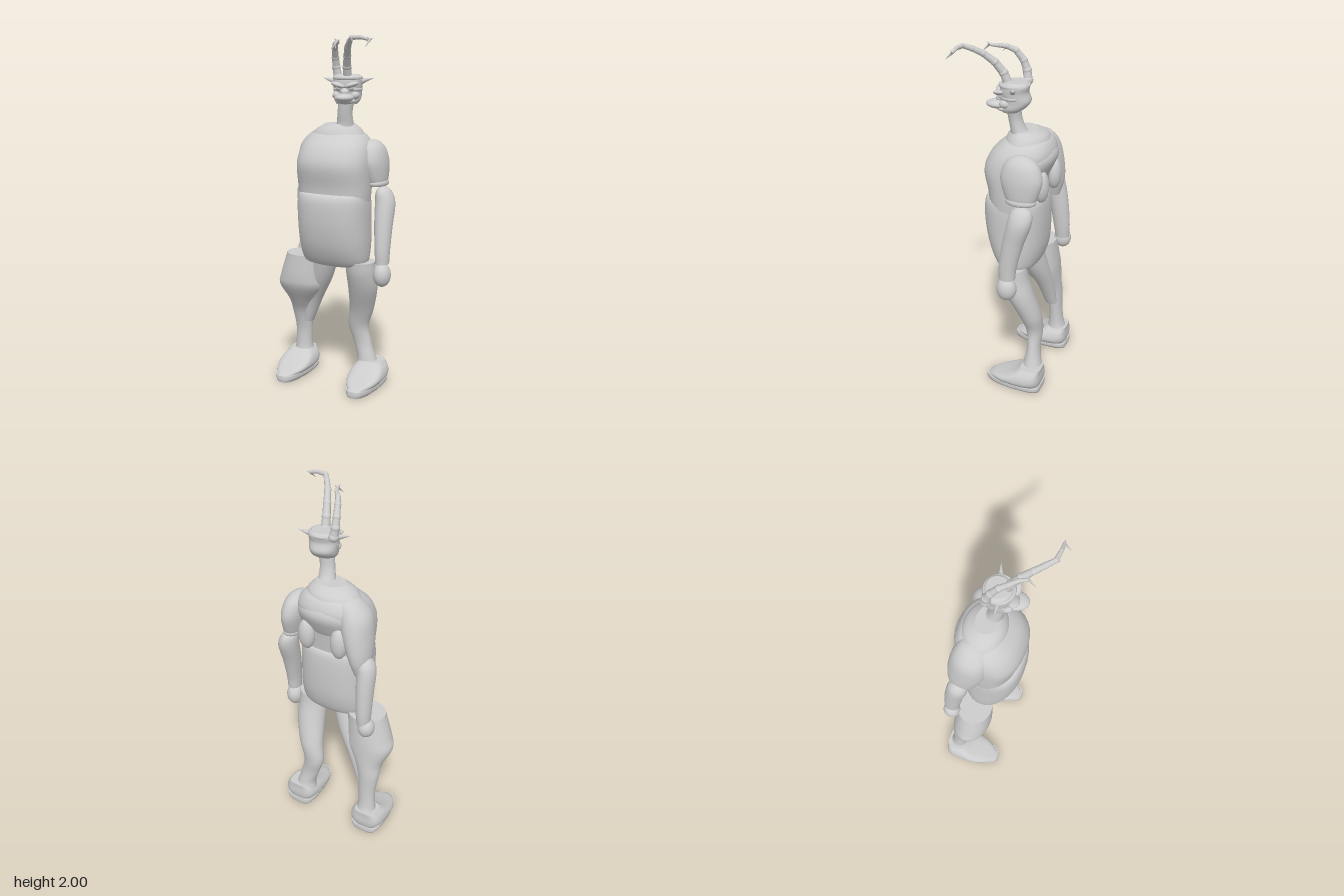
import * as THREE from 'three';

const grey = new THREE.MeshStandardMaterial({ color: 0xcccccc });
grey.name = 'plain grey';

// Smooth closed body through oval sections, listed bottom to top:
// [x, y, z, halfWidth, halfDepth]; power above 2 squares the ovals.
function loft(sections, power = 2, steps = 6, sides = 32) {
  const centre = new THREE.CatmullRomCurve3(sections.map(s => new THREE.Vector3(s[0], s[1], s[2])), false, 'catmullrom', 0.5);
  const size = new THREE.CatmullRomCurve3(sections.map(s => new THREE.Vector3(s[3], s[4], 0)), false, 'catmullrom', 0.5);
  const rows = (sections.length - 1) * steps;
  const pos = [], idx = [];
  const bend = v => Math.sign(v) * Math.pow(Math.abs(v), 2 / power);
  const ring = i => {
    const c = centre.getPoint(i / rows), r = size.getPoint(i / rows);
    for (let j = 0; j < sides; j++) {
      const a = j / sides * Math.PI * 2;
      pos.push(c.x + r.x * bend(Math.cos(a)), c.y, c.z + r.y * bend(Math.sin(a)));
    }
    return c;
  };
  for (let i = 0; i <= rows; i++) ring(i);
  for (let i = 0; i < rows; i++) for (let j = 0; j < sides; j++) {
    const a = i * sides + j, b = i * sides + (j + 1) % sides;
    idx.push(a, a + sides, b, b, a + sides, b + sides);
  }
  // End caps with their own vertices keep the rims crisp
  for (const i of [0, rows]) {
    const start = pos.length / 3, c = ring(i);
    pos.push(c.x, c.y, c.z);
    for (let j = 0; j < sides; j++) {
      const a = start + j, b = start + (j + 1) % sides;
      idx.push(start + sides, ...(i ? [b, a] : [a, b]));
    }
  }
  const g = new THREE.BufferGeometry();
  g.setAttribute('position', new THREE.Float32BufferAttribute(pos, 3));
  g.setIndex(idx);
  g.computeVertexNormals();
  return g;
}

function add(parent, name, geometry, position = [0, 0, 0]) {
  const m = new THREE.Mesh(geometry, grey);
  m.name = name;
  m.position.set(...position);
  parent.add(m);
  return m;
}

function ball(parent, name, p, r) {
  const m = add(parent, name, new THREE.SphereGeometry(1, 32, 20), p);
  m.scale.set(...r);
  return m;
}

// Cone or rod between two points
function rod(parent, name, a, b, ra, rb, sides = 12) {
  const from = new THREE.Vector3(...a), to = new THREE.Vector3(...b), d = to.clone().sub(from);
  const m = add(parent, name, new THREE.CylinderGeometry(rb, ra, d.length(), sides));
  m.position.copy(from).add(to).multiplyScalar(0.5);
  m.quaternion.setFromUnitVectors(new THREE.Vector3(0, 1, 0), d.normalize());
}

function foot(parent, name, x) {
  const g = new THREE.Group();
  g.name = name;
  g.position.x = x;
  parent.add(g);
  const narrowToe = geo => {
    const p = geo.attributes.position;
    for (let i = 0; i < p.count; i++) p.setX(i, p.getX(i) * (1 - 13 * Math.max(0, p.getZ(i) + 0.1) ** 2));
    geo.computeVertexNormals();
    return geo;
  };
  add(g, 'sole', narrowToe(loft([[0, 0.003, -0.07, 0.075, 0.167], [0, 0.02, -0.07, 0.09, 0.17], [0, 0.04, -0.07, 0.092, 0.168]], 5)));
  add(g, 'shoe', narrowToe(loft([[0, 0.04, -0.07, 0.088, 0.162], [0, 0.06, -0.09, 0.101, 0.147], [0, 0.085, -0.125, 0.101, 0.113],
    [0, 0.115, -0.155, 0.09, 0.08], [0, 0.145, -0.175, 0.066, 0.06]], 3.6)));
}

// Jointed horn with knuckles and small forked tips
function horn(parent, name, points, r) {
  const g = new THREE.Group();
  g.name = name;
  parent.add(g);
  const n = points.length - 1;
  const rad = i => r * (1 - 0.68 * i / n);
  for (let i = 0; i < n; i++) {
    rod(g, 'hornSegment', points[i], points[i + 1], rad(i), rad(i + 1));
    ball(g, 'knuckle', points[i], [rad(i) * 1.12, rad(i) * 1.05, rad(i) * 1.12]);
  }
  const t = points[n];
  for (const [dx, dy, dz] of [[0.018, 0.008, -0.004], [-0.008, 0.014, 0.014], [-0.006, -0.038, 0.042]])
    rod(g, 'tipSpike', t, [t[0] + dx, t[1] + dy, t[2] + dz], rad(n), 0.0005, 8);
  const b = points[n - 2];
  rod(g, 'thorn', b, [b[0] + 0.012, b[1] - 0.025, b[2] + 0.02], 0.007, 0.0005, 8);
}

export function createModel() {
  const model = new THREE.Group();
  model.name = 'hornedFigure';

  // Torso
  add(model, 'belly', loft([[0.03, 0.738, -0.045, 0.14, 0.06], [0.03, 0.765, -0.045, 0.19, 0.11], [0.03, 0.86, -0.035, 0.204, 0.15],
    [0.03, 0.98, -0.025, 0.206, 0.168], [0.03, 1.1, -0.02, 0.206, 0.17], [0.03, 1.155, -0.02, 0.198, 0.158], [0.03, 1.17, -0.02, 0.18, 0.13]], 2.4));
  add(model, 'chest', loft([[0.03, 1.11, -0.025, 0.204, 0.14], [0.03, 1.2, -0.025, 0.21, 0.148], [0.03, 1.32, -0.022, 0.211, 0.168],
    [0.03, 1.41, -0.055, 0.198, 0.168], [0.03, 1.47, -0.075, 0.16, 0.13], [0.03, 1.5, -0.08, 0.11, 0.09]], 2.4));
  add(model, 'upperBack', loft([[0.03, 1.22, -0.09, 0.13, 0.06], [0.03, 1.32, -0.12, 0.17, 0.085],
    [0.03, 1.41, -0.125, 0.17, 0.107], [0.02, 1.5, -0.1, 0.1, 0.07]]));
  for (const x of [-0.075, 0.125]) ball(model, 'shoulderBlade', [x, 1.255, -0.188], [0.048, 0.09, 0.04]);

  // Collar and neck
  add(model, 'collar', loft([[0.025, 1.43, -0.075, 0.14, 0.11], [0.025, 1.465, -0.075, 0.156, 0.12],
    [0.03, 1.505, -0.075, 0.132, 0.104], [0.045, 1.538, -0.065, 0.085, 0.065]]));
  add(model, 'neck', loft([[0.075, 1.5, -0.065, 0.06, 0.068], [0.083, 1.54, -0.045, 0.048, 0.044],
    [0.09, 1.6, -0.028, 0.042, 0.036], [0.1, 1.67, -0.022, 0.045, 0.037]]));

  // Head, turned a little to its left
  const head = new THREE.Group();
  head.name = 'head';
  head.position.set(0.105, 0, -0.03);
  head.rotation.y = 0.23;
  model.add(head);
  add(head, 'skull', loft([[0, 1.648, 0.02, 0.055, 0.045], [0, 1.67, 0.005, 0.07, 0.065], [0, 1.705, -0.01, 0.074, 0.076],
    [0, 1.75, 0, 0.078, 0.074], [0, 1.785, -0.005, 0.08, 0.074], [0, 1.803, -0.01, 0.06, 0.055]], 2.2));
  ball(head, 'snout', [0, 1.683, 0.082], [0.052, 0.024, 0.066]);
  ball(head, 'lowerJaw', [0, 1.665, 0.05], [0.054, 0.018, 0.045]);
  ball(head, 'nose', [0, 1.712, 0.072], [0.024, 0.02, 0.026]);
  for (const [y, r] of [[1.725, 0.068], [1.785, 0.071]]) {
    const band = add(head, 'headRidge', new THREE.TorusGeometry(r, 0.011, 10, 36), [0, y, 0]);
    band.rotation.x = Math.PI / 2;
  }
  for (const s of [-1, 1]) {
    const brow = ball(head, 'brow', [s * 0.037, 1.75, 0.073], [0.04, 0.014, 0.03]);
    brow.rotation.z = s * 0.3;
    ball(head, 'eye', [s * 0.034, 1.733, 0.068], [0.016, 0.012, 0.014]);
    ball(head, 'cheek', [s * 0.05, 1.695, 0.042], [0.024, 0.022, 0.03]);
    rod(head, 'ear', [s * 0.065, 1.765, 0], [s * 0.138, 1.785, -0.01], 0.018, 0.001);
  }

  // Horns
  horn(model, 'rightHorn', [[0.025, 1.79, -0.07], [0.018, 1.84, -0.063], [0.022, 1.89, -0.045],
    [0.037, 1.94, -0.01], [0.06, 1.962, 0.03], [0.09, 1.97, 0.065], [0.108, 1.975, 0.105]], 0.024);
  horn(model, 'leftHorn', [[0.118, 1.79, 0], [0.125, 1.845, 0.022], [0.145, 1.9, 0.06], [0.172, 1.945, 0.11],
    [0.205, 1.973, 0.155], [0.235, 1.99, 0.19], [0.29, 1.99, 0.197], [0.336, 1.978, 0.197]], 0.024);

  // Left arm
  add(model, 'leftUpperArm', loft([[0.25, 1.2, -0.12, 0.045, 0.07], [0.245, 1.25, -0.12, 0.057, 0.093], [0.235, 1.33, -0.118, 0.067, 0.114],
    [0.225, 1.4, -0.115, 0.062, 0.095], [0.22, 1.44, -0.112, 0.038, 0.055], [0.22, 1.455, -0.112, 0.003, 0.004]]));
  const cuff = add(model, 'leftCuff', new THREE.TorusGeometry(1, 0.22, 12, 32), [0.25, 1.215, -0.12]);
  cuff.rotation.x = Math.PI / 2;
  cuff.scale.set(0.045, 0.07, 0.07);
  add(model, 'leftForearm', loft([[0.307, 0.77, -0.065, 0.038, 0.045], [0.305, 0.85, -0.07, 0.042, 0.05], [0.298, 0.98, -0.095, 0.05, 0.058],
    [0.292, 1.1, -0.128, 0.055, 0.066], [0.28, 1.165, -0.135, 0.042, 0.056], [0.275, 1.195, -0.135, 0.012, 0.02]]));
  ball(model, 'leftHand', [0.308, 0.705, -0.062], [0.049, 0.068, 0.056]);

  // Right arm, swung back
  add(model, 'rightUpperArm', loft([[-0.185, 1.08, -0.135, 0.035, 0.05], [-0.175, 1.18, -0.13, 0.06, 0.085], [-0.15, 1.3, -0.11, 0.08, 0.108],
    [-0.125, 1.41, -0.1, 0.085, 0.1], [-0.095, 1.48, -0.1, 0.055, 0.065], [-0.09, 1.505, -0.1, 0.005, 0.006]]));
  add(model, 'rightForearm', loft([[-0.235, 0.79, -0.193, 0.036, 0.04], [-0.232, 0.87, -0.188, 0.042, 0.048], [-0.228, 1.0, -0.172, 0.048, 0.054],
    [-0.225, 1.11, -0.152, 0.051, 0.058], [-0.218, 1.165, -0.145, 0.042, 0.049], [-0.215, 1.2, -0.145, 0.008, 0.01]]));
  ball(model, 'rightHand', [-0.25, 0.77, -0.19], [0.047, 0.058, 0.05]);

  // Left leg
  add(model, 'leftLeg', loft([[0.178, 0.12, -0.17, 0.066, 0.06], [0.17, 0.17, -0.167, 0.055, 0.048], [0.145, 0.25, -0.165, 0.056, 0.038],
    [0.122, 0.35, -0.16, 0.062, 0.047], [0.148, 0.46, -0.142, 0.072, 0.062], [0.177, 0.6, -0.092, 0.085, 0.076],
    [0.182, 0.7, -0.058, 0.086, 0.08], [0.18, 0.775, -0.045, 0.085, 0.08]]));
  foot(model, 'leftFoot', 0.205);

  // Right leg: thick knee piece over the shin, with the thin thigh behind
  add(model, 'rightShin', loft([[-0.25, 0.12, -0.17, 0.062, 0.06], [-0.25, 0.18, -0.165, 0.052, 0.045], [-0.247, 0.28, -0.16, 0.052, 0.04],
    [-0.246, 0.39, -0.145, 0.066, 0.052], [-0.232, 0.47, -0.12, 0.086, 0.072], [-0.218, 0.57, -0.085, 0.141, 0.102],
    [-0.208, 0.64, -0.075, 0.134, 0.108], [-0.187, 0.777, -0.07, 0.108, 0.1]]));
  add(model, 'rightThigh', loft([[-0.205, 0.33, -0.145, 0.028, 0.035], [-0.16, 0.48, -0.125, 0.052, 0.05],
    [-0.09, 0.64, -0.09, 0.068, 0.07], [-0.04, 0.8, -0.06, 0.075, 0.078]]));
  foot(model, 'rightFoot', -0.26);

  return model;
}
